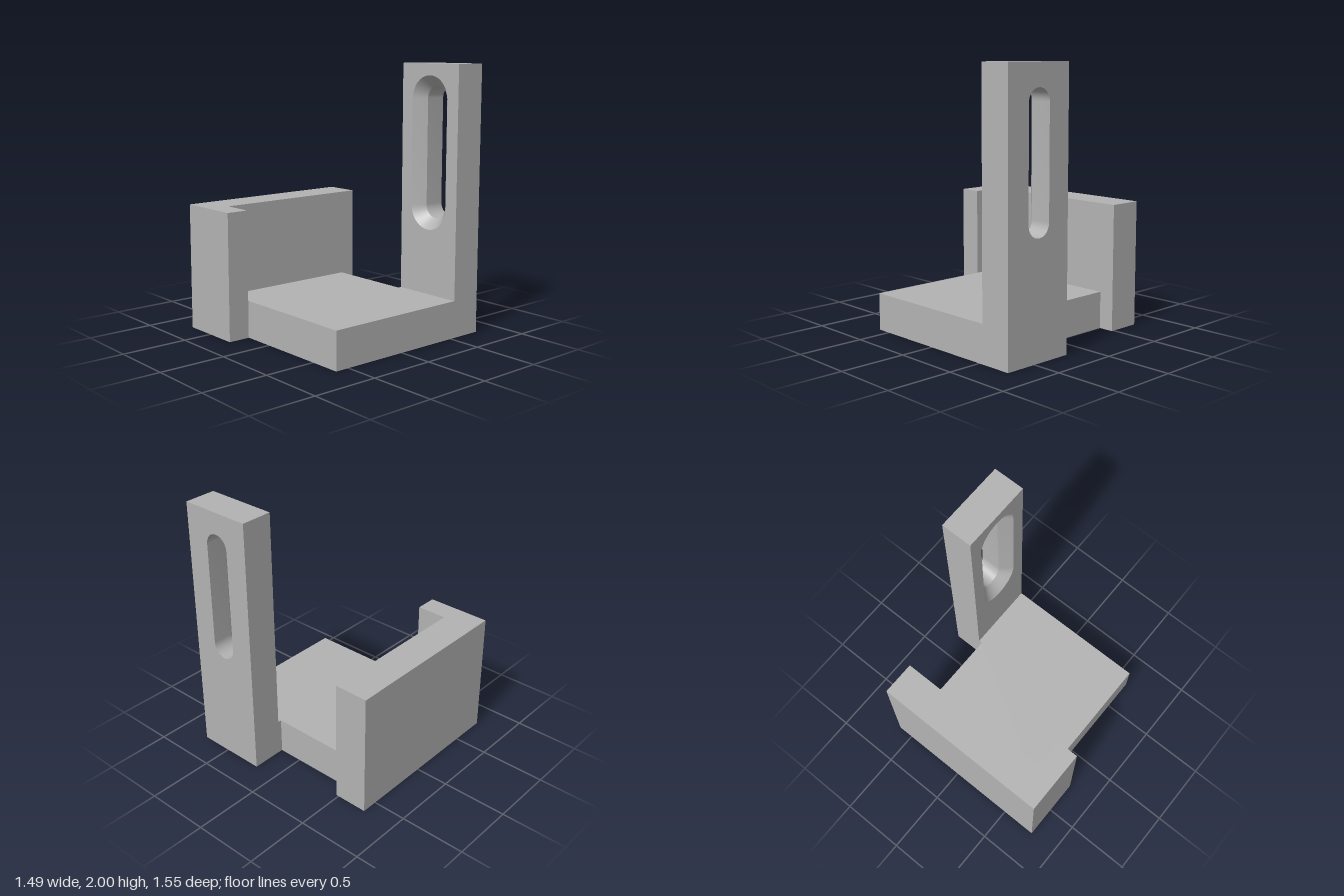
import * as THREE from 'three';
import { mergeGeometries, toCreasedNormals } from 'three/addons/utils/BufferGeometryUtils.js';

const toVecs = (pts) => pts.map(([x, y]) => new THREE.Vector2(x, y));

// Upright prism from a plan outline of [x, z] points, standing on y = 0
function planPrism(outline, height) {
  const shape = new THREE.Shape(toVecs(outline.map(([x, z]) => [x, -z])));
  const geo = new THREE.ExtrudeGeometry(shape, { depth: height, bevelEnabled: false });
  return geo.rotateX(-Math.PI / 2);
}

// Slot outline, counter-clockwise, with round ends
function slotPoints(cx, yLow, yHigh, r, n = 24) {
  const pts = [];
  for (const [cy, start] of [[yHigh, 0], [yLow, Math.PI]]) {
    for (let i = 0; i <= n; i++) {
      const a = start + (Math.PI * i) / n;
      pts.push(new THREE.Vector2(cx + r * Math.cos(a), cy + r * Math.sin(a)));
    }
  }
  return pts;
}

// Closed band of quads through loops of { pts, z }
function loft(loops) {
  const n = loops[0].pts.length;
  const pos = [], index = [];
  for (const { pts, z } of loops) for (const p of pts) pos.push(p.x, p.y, z);
  for (let k = 0; k < loops.length - 1; k++) {
    for (let i = 0; i < n; i++) {
      const j = (i + 1) % n;
      const a = k * n + i, b = k * n + j;
      index.push(a, b, b + n, a, b + n, a + n);
    }
  }
  const geo = new THREE.BufferGeometry();
  geo.setAttribute('position', new THREE.Float32BufferAttribute(pos, 3));
  geo.setIndex(index);
  return toCreasedNormals(geo, 0.5);
}

// Flat face with a hole, facing front or back
function plate(outline, hole, z, facesBack) {
  const shape = new THREE.Shape(outline);
  shape.holes.push(new THREE.Path(hole));
  const indexed = new THREE.ShapeGeometry(shape);
  if (facesBack) {
    indexed.index.array.reverse();
    indexed.attributes.normal.array.forEach((v, i, arr) => { arr[i] = -v; });
  }
  const geo = indexed.toNonIndexed().translate(0, 0, z);
  geo.deleteAttribute('uv');
  return geo;
}

export function createModel() {
  const group = new THREE.Group();
  const grey = new THREE.MeshStandardMaterial({ color: 0xb3b3b3 });
  grey.name = 'grey';
  const add = (name, geo) => {
    const mesh = new THREE.Mesh(geo, grey);
    mesh.name = name;
    group.add(mesh);
  };

  const left = -0.743, right = 0.743, front = 0.777, back = -0.777;
  const wallX = -0.48, postX = 0.186, postFront = -0.532, baseFront = 0.607;

  // Base slab, reaching back to the post
  add('base', planPrism([
    [wallX, baseFront], [right, baseFront], [right, postFront],
    [postX, postFront], [postX, -0.504], [wallX, -0.504],
  ], 0.28));

  // Side wall with the lip turned in at the front
  add('sideWall', planPrism([
    [left, front], [-0.244, front], [-0.244, baseFront + 0.002],
    [wallX, baseFront + 0.002], [wallX, -0.622], [left, -0.622],
  ], 0.952));

  // Tall post with a countersunk slot
  const rect = toVecs([[postX, 0], [right, 0], [right, 2], [postX, 2]]);
  const wide = slotPoints(0.463, 0.946, 1.74, 0.174);
  const narrow = slotPoints(0.463, 0.946, 1.74, 0.096);
  add('slottedPost', mergeGeometries([
    loft([{ pts: rect, z: back }, { pts: rect, z: postFront }]),
    plate(rect, wide, postFront, false),
    plate(rect, narrow, back, true),
    loft([
      { pts: wide, z: postFront },
      { pts: narrow, z: postFront - 0.083 },
      { pts: narrow, z: back },
    ]),
  ]));

  return group;
}
